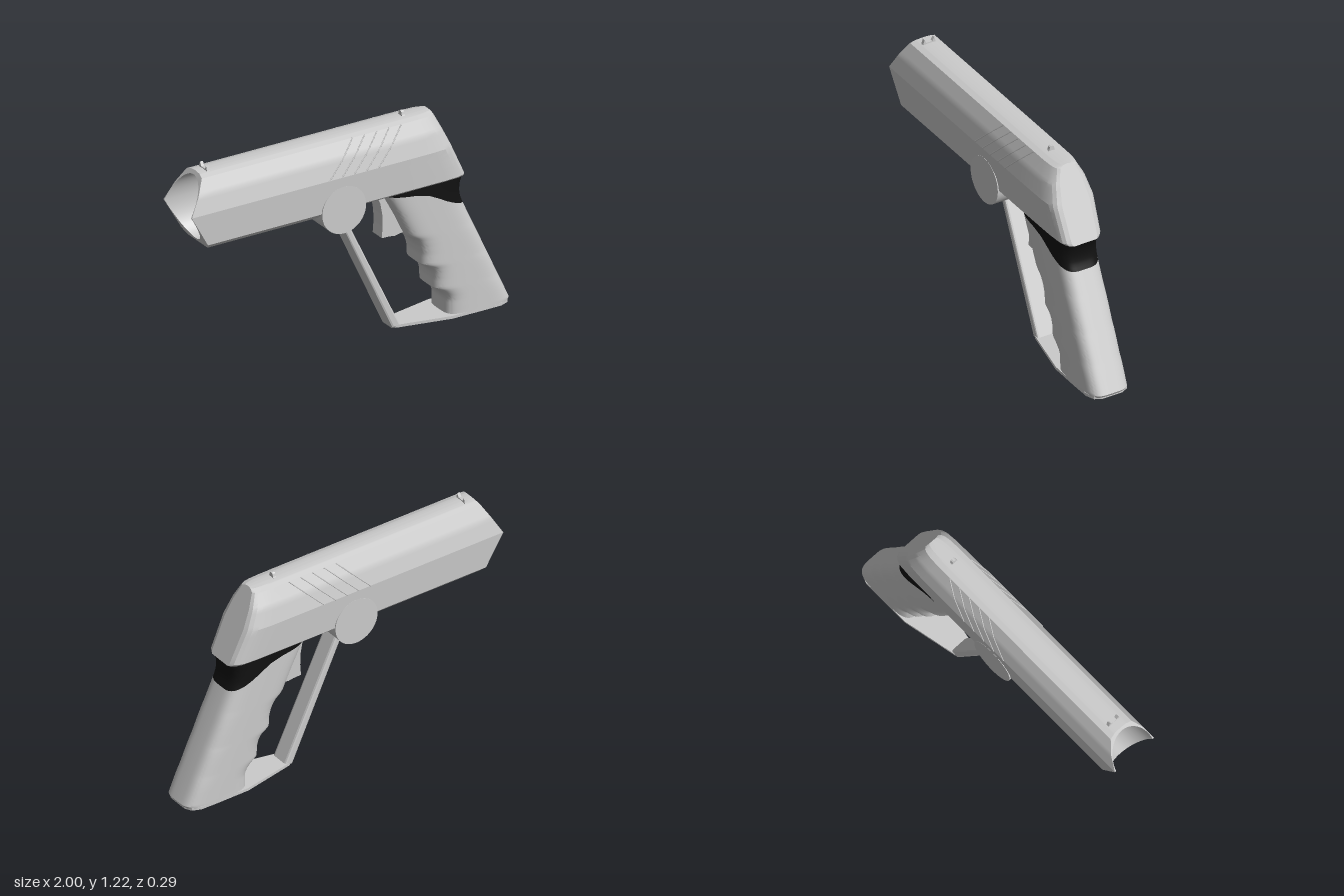
import * as THREE from 'three';
import { toCreasedNormals } from 'three/addons/utils/BufferGeometryUtils.js';

const grey = new THREE.MeshStandardMaterial({ color: 0xcccccc });
const black = new THREE.MeshStandardMaterial({ color: 0x111111 });

function part(name, geometry, material = grey) {
  const mesh = new THREE.Mesh(geometry, material);
  mesh.name = name;
  return mesh;
}

// Skin a list of equal-length rings of [x, y, z] points and close both ends
function loft(rings, crease) {
  const pos = [];
  const tri = (a, b, c) => pos.push(...a, ...b, ...c);
  const n = rings[0].length;
  for (let i = 0; i < rings.length - 1; i++) {
    for (let j = 0; j < n; j++) {
      const k = (j + 1) % n, r = rings[i], q = rings[i + 1];
      tri(r[j], r[k], q[j]);
      tri(r[k], q[k], q[j]);
    }
  }
  const cap = (ring, flip) => {
    const c = [0, 1, 2].map(a => ring.reduce((s, p) => s + p[a], 0) / n);
    ring.forEach((p, j) => {
      const q = ring[(j + 1) % n];
      flip ? tri(c, q, p) : tri(c, p, q);
    });
  };
  cap(rings[0], true);
  cap(rings[rings.length - 1], false);
  const g = new THREE.BufferGeometry();
  g.setAttribute('position', new THREE.Float32BufferAttribute(pos, 3));
  return toCreasedNormals(g, crease);
}

// Linear interpolation in a list of [key, value] pairs
function lookup(table, t) {
  for (let i = 1; i < table.length; i++) {
    const [a, va] = table[i - 1], [b, vb] = table[i];
    if (t <= b) return va + (vb - va) * Math.max(0, (t - a) / (b - a));
  }
  return table[table.length - 1][1];
}

// Flat side profile with thickness along z and a small chamfer
function slab(points, halfZ, bevel) {
  const shape = new THREE.Shape(points.map(p => new THREE.Vector2(...p)));
  const g = new THREE.ExtrudeGeometry(shape, {
    depth: 2 * (halfZ - bevel), bevelEnabled: bevel > 0, bevelThickness: bevel,
    bevelSize: bevel, bevelOffset: -bevel, bevelSegments: 2,
  });
  return g.translate(0, 0, bevel - halfZ);
}

// Barrel and receiver in one skin, starting at the bottom of the bore
function bodyGeometry() {
  const half = [[0, 1.195], [0.04, 1.192], [0.075, 1.18], [0.115, 1.1], [0.14, 1.0],
    [0.131, 0.815], [0.1, 0.785], [0, 0.785]];
  const corners = [...half, ...half.slice(1, -1).reverse().map(([z, y]) => [-z, y])];
  const outline = [];
  corners.forEach(([z, y], i) => {
    const [z2, y2] = corners[(i + 1) % corners.length];
    for (let s = 0; s < 5; s++) outline.push([z + (z2 - z) * s / 5, y + (y2 - y) * s / 5]);
  });
  const bore = outline.map(([z, y]) => {
    const dy = y - 0.99, k = 1 / Math.hypot(z / 0.131, dy / 0.185);
    return [z * k, 0.99 + dy * k];
  });
  const muzzle = y => -1 + 0.11 * Math.abs(y - 1) / 0.195;
  const rings = [
    bore.map(([z, y]) => [-0.3, y, z]),
    bore.map(([z, y]) => [muzzle(y), y, z]),
    outline.map(([z, y]) => [muzzle(y), y, z]),
  ];
  // x at the top, share of the rear slant, width factor, lowest y
  const stations = [[-0.85, 0, 1, 0.785], [-0.07, 0, 1, 0.785], [-0.05, 0, 1, 0.8],
    [0.25, 0.5, 1, 0.8], [0.42, 0.9, 0.99, 0.8], [0.48, 1, 0.95, 0.8],
    [0.51, 1, 0.88, 0.8], [0.53, 1, 0.77, 0.8], [0.54, 1, 0.6, 0.8]];
  for (const [x, slant, w, low] of stations) {
    rings.push(outline.map(([z, y]) => {
      const h = Math.max(y, low);
      return [x + slant * 0.46 * (1.19 - h), h, z * w];
    }));
  }
  return loft(rings, 0.26);
}

// Front edge with finger grooves, rear edge, and the sweeping collar line
const gripFront = [[0, 0.605], [0.1, 0.605], [0.13, 0.59], [0.155, 0.565], [0.18, 0.53],
  [0.24, 0.528], [0.28, 0.517], [0.31, 0.495], [0.335, 0.452], [0.4, 0.45], [0.45, 0.435],
  [0.49, 0.41], [0.525, 0.365], [0.66, 0.3], [0.79, 0.23]];
const gripBack = [[0, 0.985], [0.02, 1.0], [0.64, 0.715], [0.68, 0.7], [0.72, 0.695],
  [0.76, 0.7], [0.8, 0.715]];
const collarLine = [[0, 0.785], [0.4, 0.765], [0.55, 0.74], [0.72, 0.69], [0.85, 0.66], [1, 0.635]];

function gripGeometry(isCollar) {
  const rows = isCollar ? 10 : 60, rings = [];
  const round = v => Math.sign(v) * Math.sqrt(Math.abs(v));
  for (let i = 0; i <= rows; i++) {
    const ring = [];
    for (let j = 0; j < 64; j++) {
      const a = j / 64 * Math.PI * 2;
      const u = 0.5 + 0.5 * round(Math.sin(a)), t = i / rows;
      const edge = lookup(collarLine, u);
      const y = isCollar ? edge + (0.805 - edge) * t : edge * t;
      const front = lookup(gripFront, y), back = lookup(gripBack, y);
      ring.push([front + (back - front) * u, y, 0.121 * round(Math.cos(a))]);
    }
    rings.push(ring);
  }
  return loft(rings, 0.6);
}

export function createModel() {
  const model = new THREE.Group();
  model.add(part('body', bodyGeometry()));
  model.add(part('grip', gripGeometry(false)));
  model.add(part('gripCollar', gripGeometry(true), black));

  // Round hinge under the barrel
  const hinge = new THREE.CylinderGeometry(0.135, 0.135, 0.276, 48).rotateX(Math.PI / 2);
  model.add(part('hinge', hinge.translate(-0.06, 0.81, 0)));

  // Guard strut and the base plate joining it to the grip
  model.add(part('guardStrut', slab([[0.29, 0], [0.345, 0], [-0.009, 0.74], [-0.053, 0.74]], 0.055, 0.012)));
  const base = [[0.12, 0.62], [0.12, 0.92], [0.1, 0.97], [0.06, 0.99], [-0.06, 0.99], [-0.1, 0.97],
    [-0.12, 0.92], [-0.12, 0.62], [-0.055, 0.31], [-0.04, 0.295], [0.04, 0.295], [0.055, 0.31]];
  model.add(part('basePlate', loft([0, 0.016].map(y => base.map(([z, x]) => [x, y, z])), 0.4)));

  // Trigger with its curved front edge
  model.add(part('trigger', slab([[0.08, 0.81], [0.08, 0.802], [0.17, 0.796], [0.2, 0.78], [0.22, 0.74],
    [0.233, 0.67], [0.235, 0.6], [0.23, 0.535], [0.28, 0.533], [0.31, 0.528], [0.37, 0.54],
    [0.37, 0.81]], 0.045, 0)));

  // Sights, drawn across the barrel and mirrored
  const sight = (name, x, outline) => {
    const full = [...outline, ...outline.slice().reverse().map(([z, y]) => [-z, y])];
    const g = slab(full, 0.009, 0).rotateY(Math.PI / 2);
    model.add(part(name, g.translate(x, 0, 0)));
  };
  sight('frontSight', -0.835, [[0.05, 1.17], [0.038, 1.195], [0.03, 1.222], [0.018, 1.2]]);
  sight('rearSight', 0.38, [[0.026, 1.18], [0.016, 1.2], [0.012, 1.216], [0.005, 1.221]]);

  // Slanted serrations on both upper flanks
  for (const side of [1, -1]) {
    for (let i = 0; i < 5; i++) {
      const x = -0.15 + 0.075 * i;
      const path = new THREE.CurvePath();
      const pts = [[x, 1.0, 0.14], [x + 0.1, 1.1, 0.115], [x + 0.18, 1.18, 0.075]]
        .map(([px, y, z]) => new THREE.Vector3(px, y, z * side));
      path.add(new THREE.LineCurve3(pts[0], pts[1]));
      path.add(new THREE.LineCurve3(pts[1], pts[2]));
      model.add(part('serration', new THREE.TubeGeometry(path, 12, 0.0035, 6)));
    }
  }
  return model;
}
